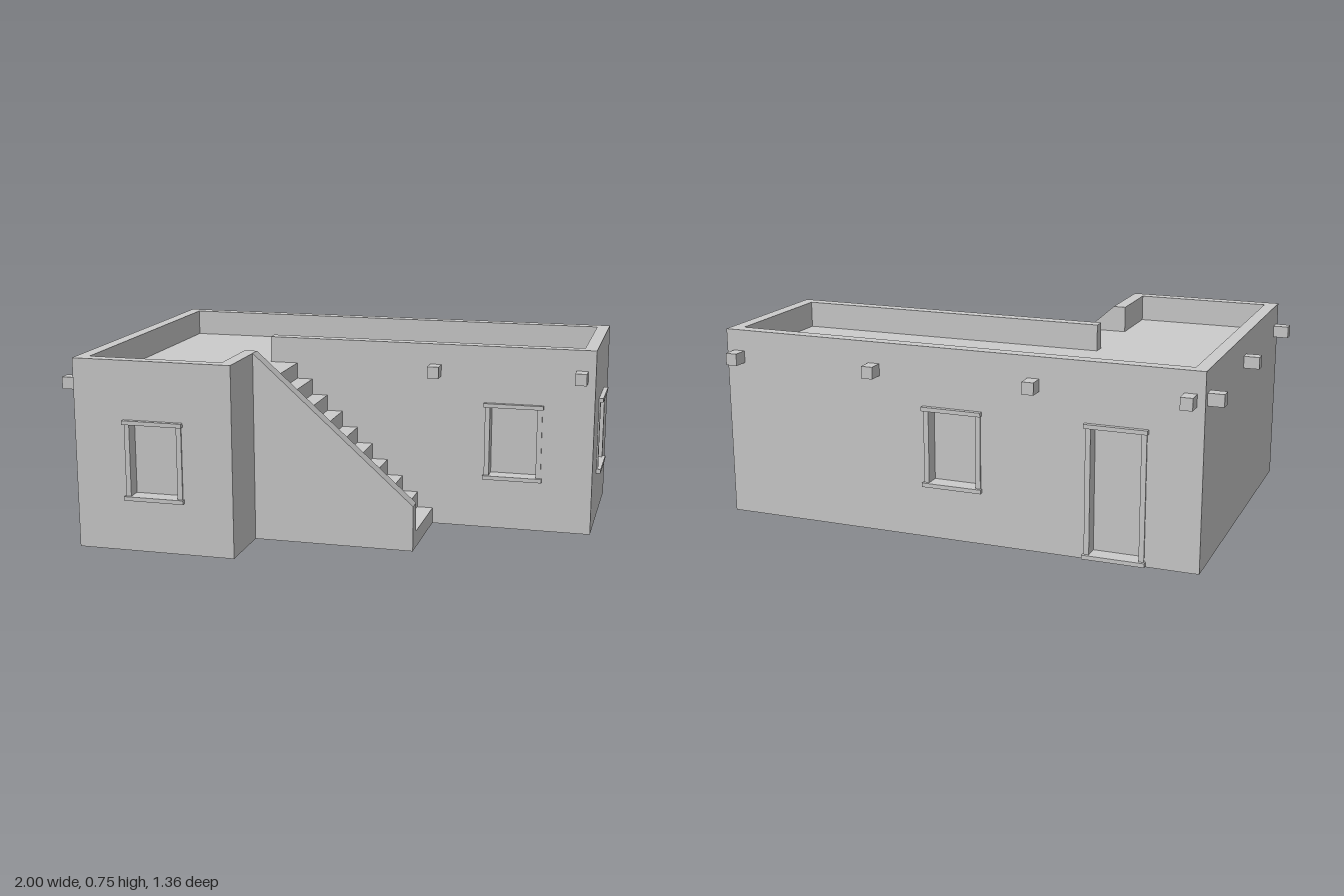
import * as THREE from 'three';

const material = new THREE.MeshStandardMaterial({ color: 0xcccccc, side: THREE.DoubleSide, flatShading: true });
const ROOF = 0.645, TOP = 0.75;          // roof deck and parapet heights
const W = -0.94, E = 0.98, N = -0.62;    // outer wall lines
const WING_X = -0.305, WING_Z = 0.66;    // left wing's inner side and front
const FRONT = 0.016;                     // front of the long wing
const STAIR_END = 0.335, STAIR_IN = 0.345, STAIR_OUT = 0.4;
const STEPS = 10;

function add(parent, name, geometry, x = 0, y = 0, z = 0) {
  const mesh = new THREE.Mesh(geometry, material);
  mesh.name = name;
  mesh.position.set(x, y, z);
  parent.add(mesh);
  return mesh;
}

// Box given by its limits on each axis
function box(parent, name, x0, x1, y0, y1, z0, z1) {
  return add(parent, name, new THREE.BoxGeometry(x1 - x0, y1 - y0, z1 - z0),
    (x0 + x1) / 2, (y0 + y1) / 2, (z0 + z1) / 2);
}

const toShape = (points) => new THREE.Shape(points.map(([x, y]) => new THREE.Vector2(x, y)));
const planShape = (points) => toShape(points.map(([x, z]) => [x, -z]));

// Surface swept along z from a profile in x and y
function strip(points, z0, z1) {
  const v = [];
  for (let i = 0; i < points.length - 1; i++) {
    const [ax, ay] = points[i], [bx, by] = points[i + 1];
    v.push(ax, ay, z1, ax, ay, z0, bx, by, z0, ax, ay, z1, bx, by, z0, bx, by, z1);
  }
  const g = new THREE.BufferGeometry();
  g.setAttribute('position', new THREE.Float32BufferAttribute(v, 3));
  g.computeVertexNormals();
  return g;
}

// Frame, sill, lintel and recessed panel around an opening, in wall space
function opening(parent, name, centre, bottom) {
  const g = new THREE.Group();
  g.name = name;
  g.position.x = centre;
  const half = 0.115, top = 0.512, depth = -0.05;
  for (const s of [-1, 1]) {
    const x = s * (half - 0.01);
    box(g, 'jamb', x - 0.01, x + 0.01, bottom, top, depth, 0.006);
  }
  box(g, 'lintel', -0.12, 0.12, 0.504, 0.52, depth, 0.018);
  box(g, 'sill', -0.12, 0.12, bottom, bottom + 0.016, depth, 0.018);
  add(g, 'panel', new THREE.PlaneGeometry(2 * half, top - bottom), 0, (top + bottom) / 2, depth);
  parent.add(g);
}

// Thin wall with openings and beam ends; local x runs along it, local z points out
function wall(parent, { name, x, z, turn, length, openings = [], beams = [] }) {
  const g = new THREE.Group();
  g.name = name;
  g.position.set(x, 0, z);
  g.rotation.y = turn * Math.PI / 2;
  const shape = toShape([[0, 0], [length, 0], [length, ROOF], [0, ROOF]]);
  for (const [kind, c] of openings) {
    const y = kind === 'door' ? 0.003 : 0.205;
    const hole = [[c - 0.115, y], [c - 0.115, 0.512], [c + 0.115, 0.512], [c + 0.115, y]];
    shape.holes.push(new THREE.Path(hole.map((p) => new THREE.Vector2(...p))));
    opening(g, kind, c, y);
  }
  add(g, 'wallSurface', new THREE.ShapeGeometry(shape));
  for (const c of beams) box(g, 'beamEnd', c - 0.023, c + 0.023, 0.62, 0.667, 0, 0.061);
  parent.add(g);
}

export function createModel() {
  const model = new THREE.Group();
  model.name = 'courtyardHouse';

  // Outer walls of the L-shaped house
  const walls = [
    { name: 'leftWingFrontWall', x: W, z: WING_Z, turn: 0, length: WING_X - W, openings: [['window', 0.32]] },
    { name: 'leftWingSideWall', x: WING_X, z: WING_Z, turn: 1, length: WING_Z - FRONT },
    { name: 'longWingFrontWall', x: WING_X, z: FRONT, turn: 0, length: E - WING_X,
      openings: [['window', 0.965]], beams: [0.645, 1.232] },
    { name: 'endWall', x: E, z: FRONT, turn: 1, length: FRONT - N, openings: [['window', 0.314]] },
    { name: 'backWall', x: E, z: N, turn: 2, length: E - W,
      openings: [['window', 0.96], ['door', 1.6]], beams: [0.053, 0.64, 1.283, 1.867] },
    { name: 'sideWall', x: W, z: N, turn: -1, length: WING_Z - N, beams: [0.05, 0.638, 1.225] },
  ];
  walls.forEach((w) => wall(model, w));

  // Roof deck
  const deck = planShape([[W, N], [W, WING_Z], [WING_X, WING_Z], [WING_X, FRONT], [E, FRONT], [E, N]]);
  add(model, 'roofDeck', new THREE.ShapeGeometry(deck), 0, ROOF, 0).rotation.x = -Math.PI / 2;

  // Parapet around the roof, left open at the head of the stairs
  const t = 0.05;
  const parapet = planShape([
    [WING_X - t, FRONT], [E, FRONT], [E, N], [W, N], [W, WING_Z], [WING_X, WING_Z],
    [WING_X, STAIR_IN], [WING_X - t, STAIR_IN], [WING_X - t, WING_Z - t], [W + t, WING_Z - t],
    [W + t, N + t], [E - t, N + t], [E - t, FRONT - t], [WING_X - t, FRONT - t],
  ]);
  add(model, 'parapet', new THREE.ExtrudeGeometry(parapet, { depth: TOP - ROOF, bevelEnabled: false }),
    0, ROOF, 0).rotation.x = -Math.PI / 2;

  // Stairs rising from the right towards the left wing
  const stairs = new THREE.Group();
  stairs.name = 'stairs';
  model.add(stairs);
  const rise = ROOF / STEPS, run = (STAIR_END - WING_X) / STEPS;
  const profile = [[STAIR_END, 0]];
  for (let i = 0; i < STEPS; i++) {
    profile.push([STAIR_END - i * run, (i + 1) * rise], [STAIR_END - (i + 1) * run, (i + 1) * rise]);
  }
  add(stairs, 'steps', strip(profile, FRONT, STAIR_IN));

  // Sloping side wall of the stairs
  const slope = [[STAIR_END, 0], [STAIR_END, 0.18], [WING_X, TOP]];
  add(stairs, 'stairWallFront', new THREE.ShapeGeometry(toShape([...slope, [WING_X, 0]])), 0, 0, STAIR_OUT);
  add(stairs, 'stairWallCap', strip(slope, STAIR_IN, STAIR_OUT));
  const inner = [...profile.slice(1), [WING_X, TOP], [STAIR_END, 0.18]];
  add(stairs, 'stairWallInside', new THREE.ShapeGeometry(toShape(inner)), 0, 0, STAIR_IN);

  return model;
}
